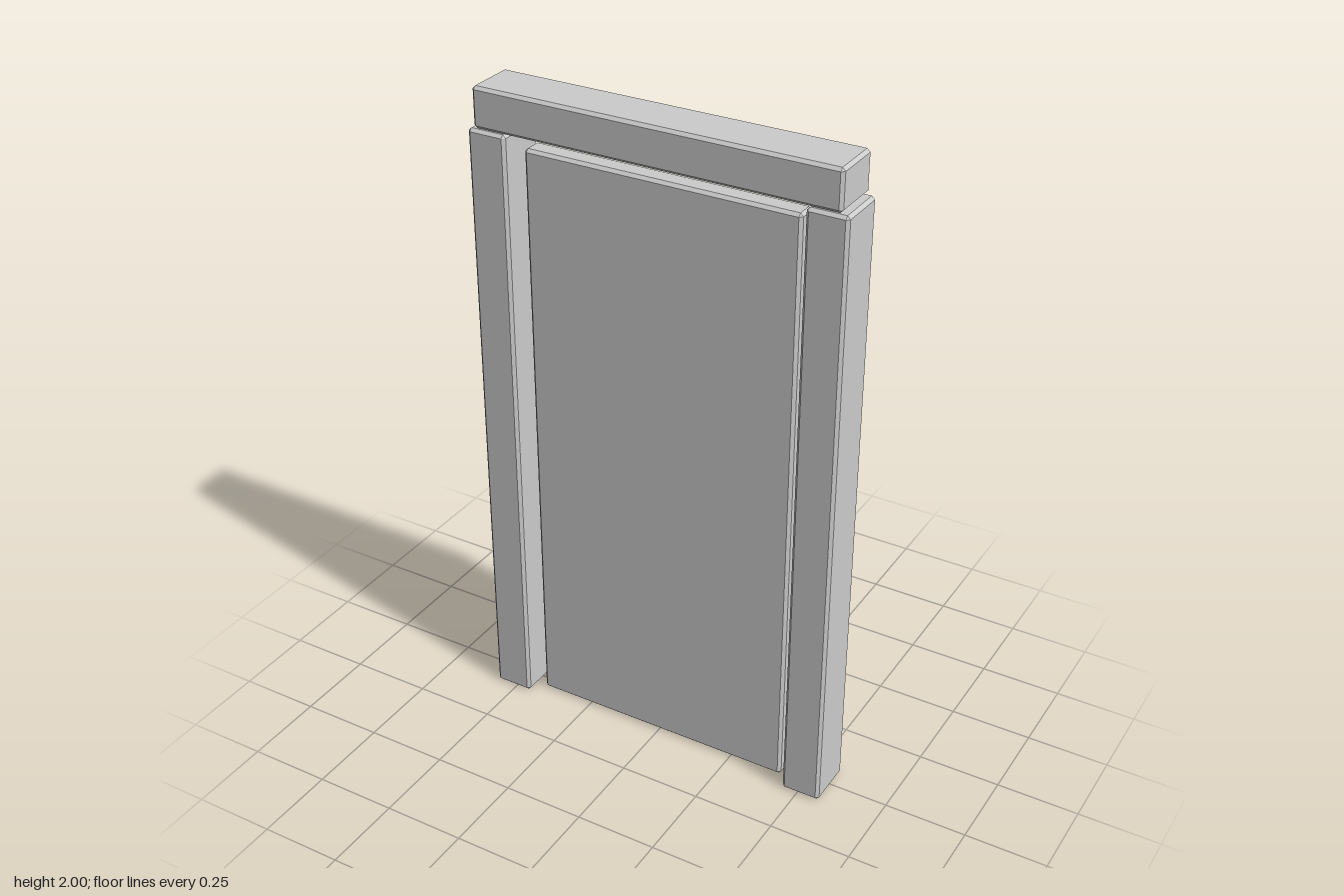
import * as THREE from 'three';
import { ConvexGeometry } from 'three/addons/geometries/ConvexGeometry.js';

const material = new THREE.MeshStandardMaterial({ color: 0xcccccc, flatShading: true });
const BEVEL = 0.009;

// Box with chamfered edges and corners, given by its min and max on each axis
function chamferedBox(name, [x0, x1], [y0, y1], [z0, z1], bevel = BEVEL) {
  const half = [(x1 - x0) / 2, (y1 - y0) / 2, (z1 - z0) / 2];
  const points = [];
  for (const sx of [-1, 1]) for (const sy of [-1, 1]) for (const sz of [-1, 1]) {
    const sign = [sx, sy, sz];
    // each corner becomes three points, one on each adjoining face
    for (let face = 0; face < 3; face++) {
      points.push(new THREE.Vector3(
        ...half.map((h, axis) => sign[axis] * (axis === face ? h : h - bevel))));
    }
  }
  const mesh = new THREE.Mesh(new ConvexGeometry(points), material);
  mesh.name = name;
  mesh.position.set((x0 + x1) / 2, (y0 + y1) / 2, (z0 + z1) / 2);
  return mesh;
}

export function createModel() {
  const model = new THREE.Group();
  model.name = 'door';

  // Frame: two posts and a lintel of equal depth
  const frameZ = [-0.07, 0.087];
  model.add(
    chamferedBox('leftPost', [0.45, 0.57], [0, 1.877], frameZ),
    chamferedBox('rightPost', [-0.57, -0.45], [0, 1.877], frameZ),
    chamferedBox('lintel', [-0.55, 0.55], [1.88, 2], frameZ),
  );

  // Door leaf, set back inside the frame
  model.add(chamferedBox('doorLeaf', [-0.42, 0.42], [0, 1.832], [-0.024, 0.041]));

  // Raised panels and handle on the back
  const panelZ = [-0.044, 0];
  model.add(
    chamferedBox('upperPanel', [-0.277, 0.277], [1.017, 1.66], panelZ),
    chamferedBox('lowerPanel', [-0.277, 0.277], [0.285, 0.805], panelZ),
    chamferedBox('handle', [0.299, 0.341], [0.855, 1.026], [-0.087, -0.02]),
  );

  return model;
}
